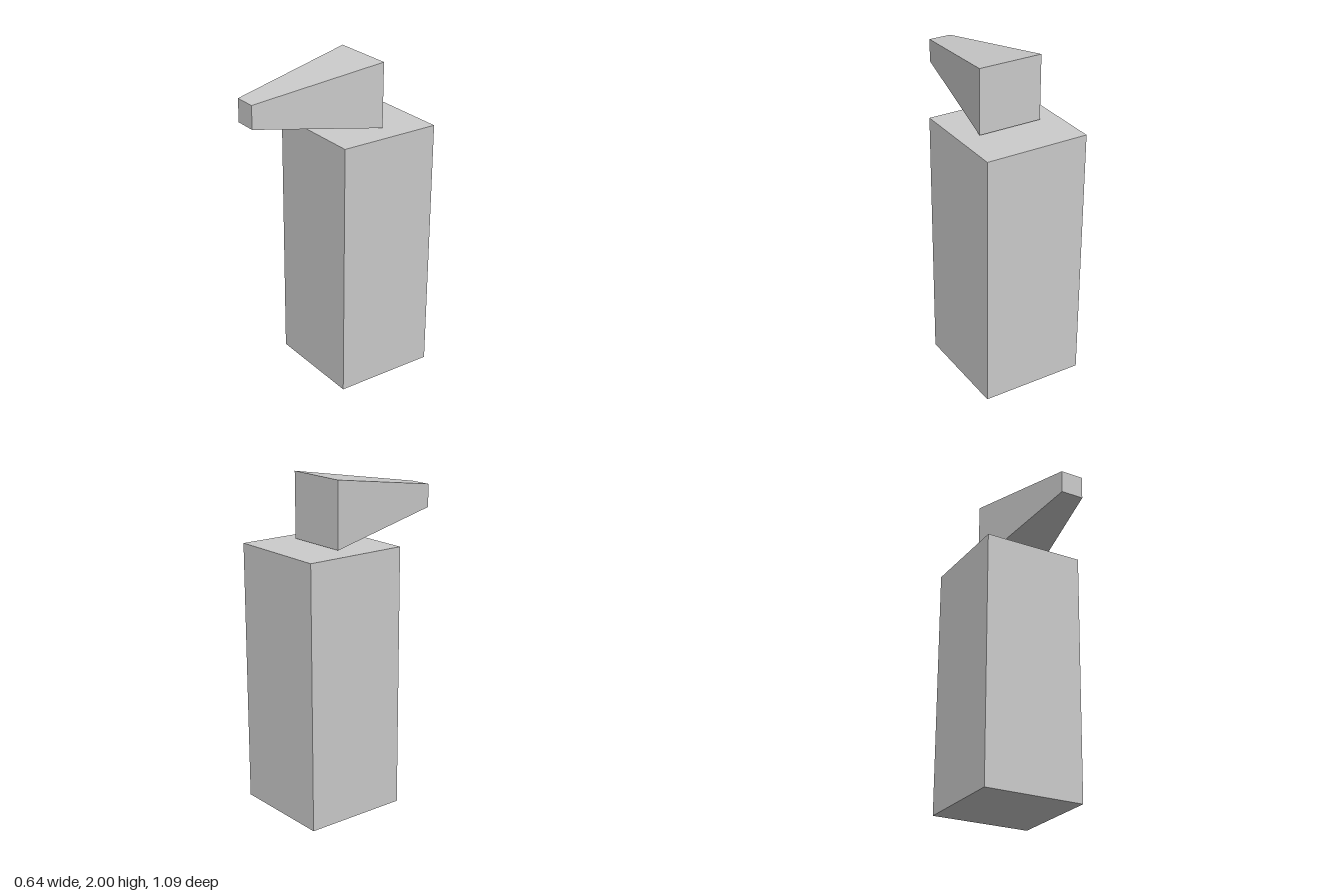
import * as THREE from 'three';

// Box lying along z whose front end is scaled down to form a frustum
function taperedBox(size, length, frontScale) {
  const geometry = new THREE.BoxGeometry(size, size, length);
  const p = geometry.attributes.position;
  for (let i = 0; i < p.count; i++) {
    if (p.getZ(i) > 0) p.setXY(i, p.getX(i) * frontScale, p.getY(i) * frontScale);
  }
  geometry.computeVertexNormals();
  return geometry;
}

export function createModel() {
  const model = new THREE.Group();
  const material = new THREE.MeshStandardMaterial({ color: 0xcccccc, flatShading: true });

  const add = (name, geometry, y, z) => {
    const mesh = new THREE.Mesh(geometry, material);
    mesh.name = name;
    mesh.position.set(0, y, z);
    model.add(mesh);
  };

  // Upright square pillar, set toward the back
  add('pillar', new THREE.BoxGeometry(0.642, 1.594, 0.642), 0.797, -0.223);

  // Tapered head floating just above the pillar, narrow end forward
  add('taperedHead', taperedBox(0.398, 0.802, 0.355), 1.801, 0.143);

  return model;
}
